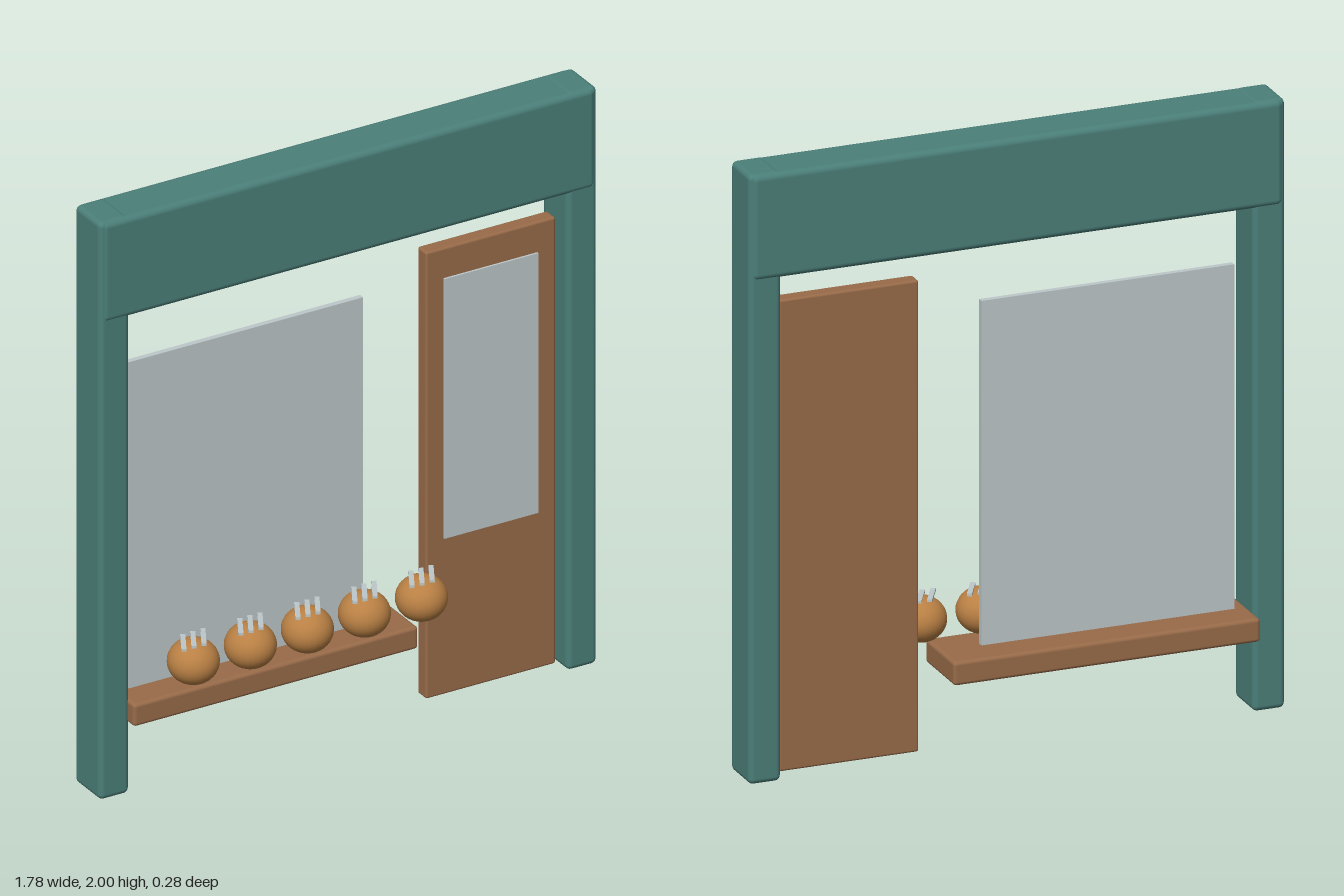
import * as THREE from 'three';
import { RoundedBoxGeometry } from 'three/addons/geometries/RoundedBoxGeometry.js';

const material = (name, color) => {
  const m = new THREE.MeshStandardMaterial({ color });
  m.name = name;
  return m;
};

export function createModel() {
  const model = new THREE.Group();
  model.name = 'bakeryShopfront';
  const teal = material('teal paint', 0x4b7f79);
  const wood = material('brown wood', 0x986b49);
  const glass = material('pale glass', 0xbdc7c9);
  const crust = material('golden crust', 0xb98044);

  // Box given by its limits on each axis; a radius rounds the edges
  const box = (name, mat, [x0, x1], [y0, y1], [z0, z1], radius = 0, parent = model) => {
    const size = [x1 - x0, y1 - y0, z1 - z0];
    const geometry = radius
      ? new RoundedBoxGeometry(...size, 3, radius)
      : new THREE.BoxGeometry(...size);
    const mesh = new THREE.Mesh(geometry, mat);
    mesh.name = name;
    mesh.position.set((x0 + x1) / 2, (y0 + y1) / 2, (z0 + z1) / 2);
    parent.add(mesh);
    return mesh;
  };

  // Frame: two posts and the fascia across the top
  box('rightPost', teal, [-0.89, -0.783], [0, 2], [-0.102, 0.052], 0.018);
  box('leftPost', teal, [0.783, 0.89], [0, 2], [-0.102, 0.052], 0.018);
  box('fascia', teal, [-0.882, 0.882], [1.652, 1.998], [-0.108, 0.056], 0.02);

  // Display window and the shelf through it
  box('windowPane', glass, [-0.747, 0.092], [0.31, 1.453], [-0.035, -0.016]);
  box('shelf', wood, [-0.79, 0.228], [0.245, 0.323], [-0.144, 0.088], 0.012);

  // Door with a glazed panel on its front
  box('door', wood, [0.306, 0.77], [0.01, 1.557], [-0.05, 0.002], 0.008);
  box('doorPane', glass, [0.368, 0.704], [0.553, 1.453], [0, 0.009]);

  // Row of round loaves, each with three slanted score marks
  for (let i = 0; i < 5; i++) {
    const loaf = new THREE.Group();
    loaf.name = 'loaf' + (i + 1);
    loaf.position.set(-0.56 + i * 0.204, 0.403, 0.058);
    const bun = new THREE.Mesh(new THREE.SphereGeometry(0.082, 28, 20), crust);
    bun.name = 'bun';
    bun.scale.y = 0.9;
    loaf.add(bun);
    for (const k of [-1, 0, 1]) {
      const x = k * 0.036;
      const mark = box('scoreMark', glass, [x - 0.008, x + 0.008], [0.067, 0.076], [-0.05, 0.05], 0, loaf);
      mark.rotation.y = -0.5;
    }
    model.add(loaf);
  }
  return model;
}
